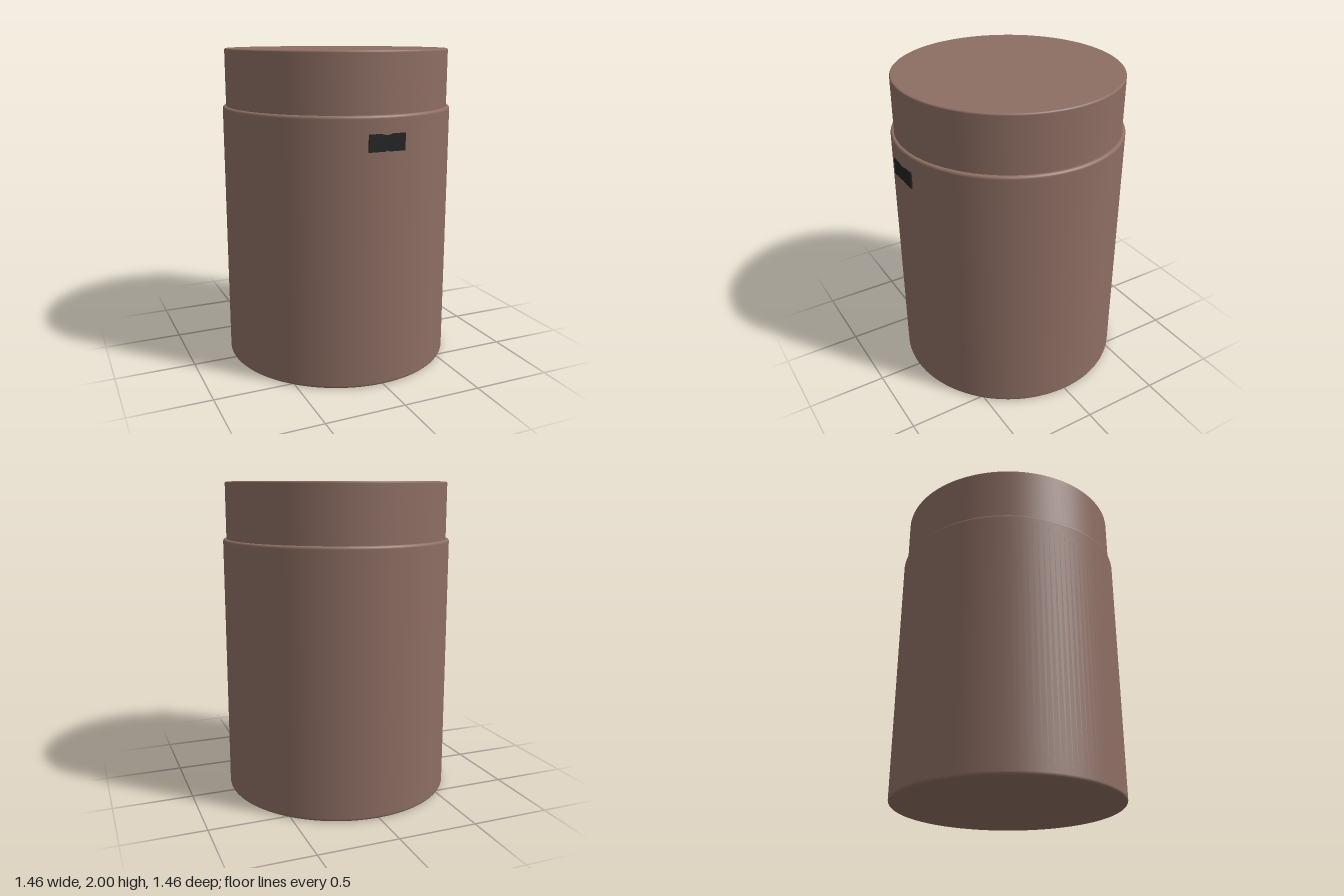
import * as THREE from 'three';

const brown = new THREE.MeshStandardMaterial({ color: 0x8d6e63 });
brown.name = 'warm brown';
const black = new THREE.MeshStandardMaterial({ color: 0x222222 });
black.name = 'soft black';

// Solid round drum with small rounded rims
function drum(name, radius, y0, y1, bevel) {
  const points = [new THREE.Vector2(0, y0), new THREE.Vector2(radius - bevel - 0.004, y0)];
  const corner = (cy, start) => {
    for (let i = 0; i <= 5; i++) {
      const a = start + (i / 5) * Math.PI / 2;
      points.push(new THREE.Vector2(radius - bevel + bevel * Math.cos(a), cy + bevel * Math.sin(a)));
    }
  };
  corner(y0 + bevel, -Math.PI / 2);
  // extra rings keep the wall and the caps shaded flat
  points.push(new THREE.Vector2(radius, y0 + bevel + 0.004), new THREE.Vector2(radius, y1 - bevel - 0.004));
  corner(y1 - bevel, 0);
  points.push(new THREE.Vector2(radius - bevel - 0.004, y1), new THREE.Vector2(0, y1));
  const mesh = new THREE.Mesh(new THREE.LatheGeometry(points, 128), brown);
  mesh.name = name;
  return mesh;
}

// Thin front plate, notched at the middle of its top and bottom edges
function frontPlate() {
  const w = 0.115, h = 0.051;
  const shape = new THREE.Shape();
  shape.moveTo(-w, -h);
  shape.lineTo(-0.015, -h);
  shape.lineTo(0, -h + 0.006);
  shape.lineTo(0.015, -h);
  shape.lineTo(w, -h);
  shape.lineTo(w, h);
  shape.lineTo(0.035, h);
  shape.quadraticCurveTo(0, h - 0.014, -0.035, h);
  shape.lineTo(-w, h);
  shape.closePath();
  const geometry = new THREE.ExtrudeGeometry(shape, { depth: 0.0095, bevelEnabled: false });
  const mesh = new THREE.Mesh(geometry, black);
  mesh.name = 'frontPlate';
  mesh.position.set(0, 1.49, 0.72);
  return mesh;
}

export function createModel() {
  const group = new THREE.Group();
  group.name = 'canister';
  group.add(
    drum('body', 0.728, 0, 1.645, 0.016),
    drum('lid', 0.707, 1.6, 2, 0.01),
    frontPlate()
  );
  return group;
}
